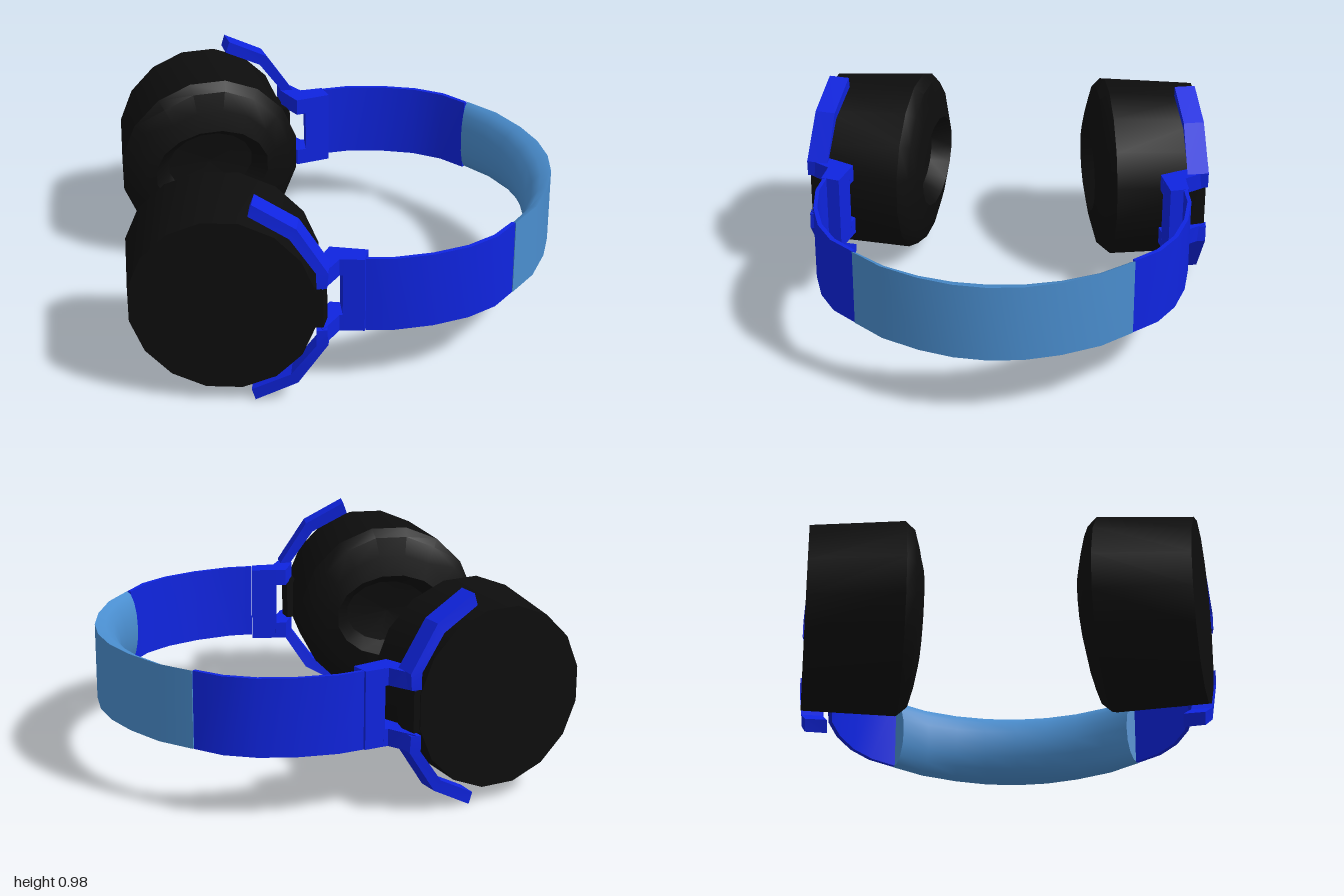
import * as THREE from 'three';
import { toCreasedNormals } from 'three/addons/utils/BufferGeometryUtils.js';

const MID = 0.495, HALF = 0.18; // band centre height and half width
const V = (x, y, z) => new THREE.Vector3(x, y, z);

const material = (name, color) => {
  const m = new THREE.MeshStandardMaterial({ color });
  m.name = name;
  return m;
};

// Turn every triangle of a closed solid outward, then add creased normals
function finish(geometry, crease = 0.5) {
  const g = geometry.index ? geometry.toNonIndexed() : geometry;
  const p = g.attributes.position;
  const a = V(), b = V(), c = V();
  let volume = 0;
  for (let i = 0; i < p.count; i += 3) {
    a.fromBufferAttribute(p, i);
    b.fromBufferAttribute(p, i + 1);
    c.fromBufferAttribute(p, i + 2);
    volume += a.dot(b.cross(c));
  }
  if (volume < 0) {
    for (let i = 0; i < p.count; i += 3) {
      b.fromBufferAttribute(p, i + 1);
      c.fromBufferAttribute(p, i + 2);
      p.setXYZ(i + 1, c.x, c.y, c.z);
      p.setXYZ(i + 2, b.x, b.y, b.z);
    }
  }
  g.deleteAttribute('normal');
  g.computeVertexNormals();
  return toCreasedNormals(g, crease);
}

// Solid through a list of equal-length rings, with fan caps
function loft(rings) {
  const n = rings[0].length, index = [], last = (rings.length - 1) * n;
  for (let r = 0; r < rings.length - 1; r++) {
    for (let i = 0; i < n; i++) {
      const a = r * n + i, b = r * n + (i + 1) % n;
      index.push(a, b, a + n, b, b + n, a + n);
    }
  }
  for (let i = 1; i < n - 1; i++) {
    index.push(0, i + 1, i, last, last + i, last + i + 1);
  }
  const g = new THREE.BufferGeometry().setFromPoints(rings.flat());
  g.setIndex(index);
  return g;
}

// Upright prism from an outline in x and z
function prism(outline, y0, y1) {
  const shape = new THREE.Shape(outline.map(([x, z]) => new THREE.Vector2(x, z)));
  const g = new THREE.ExtrudeGeometry(shape, { depth: y1 - y0, bevelEnabled: false });
  g.deleteAttribute('uv');
  return g.rotateX(Math.PI / 2).translate(0, y1, 0);
}

// Tilted ear cup: 16-sided shell, rounded cushion and oval hollow
function earCup() {
  const sections = [ // half width, half height, depth
    [0.01, 0.01, 0.421], [0.413, 0.418, 0.421], [0.441, 0.438, 0],
    [0.395, 0.4, -0.044], [0.33, 0.31, -0.068], [0.28, 0.21, -0.086],
    [0.21, 0.155, 0], [0.01, 0.01, 0.02],
  ];
  return loft(sections.map(([ru, rv, w]) => Array.from({ length: 16 }, (_, i) => {
    const t = (i + 0.5) / 16 * Math.PI * 2;
    const u = ru * Math.cos(t) + 0.094 * w;
    return V(-0.572 + 0.987 * u - 0.159 * w, MID + rv * Math.sin(t), 0.46 + 0.159 * u + 0.987 * w);
  })));
}

// Bent arm that grips the cup; s = 1 upper, -1 lower
function yokeArm(s) {
  const stations = [ // outer x, y, inner x, y, near z, far z
    [-0.445, 0.985, -0.465, 0.93, 0.785, 0.88],
    [-0.26, 0.88, -0.295, 0.835, 0.83, 0.925],
    [-0.13, 0.675, -0.185, 0.675, 0.855, 0.955],
    [-0.135, 0.6, -0.185, 0.6, 0.855, 0.955],
  ];
  return loft(stations.map(([xo, yo, xi, yi, z0, z1]) => {
    const a = MID + s * (yo - MID), b = MID + s * (yi - MID);
    return [V(xo, a, z0), V(xo - 0.02, a, z1), V(xi - 0.016, b, z1), V(xi, b, z0)];
  }));
}

// Head pad: flat outside, bulging inside, thinner toward both ends
function headPad() {
  const half = [ // outer x, z, inner x, z
    [0.725, 0.617, 0.688, 0.563], [0.845, 0.48, 0.772, 0.44],
    [0.933, 0.31, 0.827, 0.305], [0.983, 0.155, 0.856, 0.155],
  ];
  const stations = [...half, [1, 0, 0.865, 0],
    ...half.slice().reverse().map(([a, b, c, d]) => [a, -b, c, -d])];
  return loft(stations.map(([xo, zo, xi, zi]) => Array.from({ length: 9 }, (_, i) => {
    const t = i / 8 * Math.PI, k = Math.sin(t);
    return V(xo + (xi - xo) * k, MID + HALF * Math.cos(t), zo + (zi - zo) * k);
  })));
}

export function createModel() {
  const model = new THREE.Group();
  model.name = 'headphones';
  const black = material('black', 0x0d0d0d);
  const blue = material('royal blue', 0x0f24e0);
  const paleBlue = material('steel blue', 0x4a8ecf);

  const add = (parent, name, geometry, mat, crease) => {
    const mesh = new THREE.Mesh(finish(geometry, crease), mat);
    mesh.name = name;
    parent.add(mesh);
  };

  add(model, 'headPad', headPad(), paleBlue, 0.7);

  const bandOutline = [
    [0.025, 0.853], [0.145, 0.868], [0.325, 0.85], [0.49, 0.803], [0.623, 0.727], [0.722, 0.617],
    [0.708, 0.606], [0.61, 0.71], [0.482, 0.785], [0.32, 0.832], [0.145, 0.85], [0.03, 0.835],
  ];
  const baseOutline = [[-0.075, 0.847], [0.02, 0.86], [0.045, 0.775], [-0.075, 0.742]];
  const bridgeOutline = [
    [-0.175, 0.955], [-0.13, 0.9], [-0.09, 0.845], [-0.07, 0.848],
    [-0.07, 0.743], [-0.12, 0.73], [-0.155, 0.79], [-0.19, 0.855],
  ];
  const hingeOutline = [[-0.3, 0.925], [-0.17, 0.945], [-0.145, 0.87], [-0.15, 0.8], [-0.3, 0.8]];

  // Both sides are mirrored across z
  for (const side of [1, -1]) {
    const group = new THREE.Group();
    group.name = side > 0 ? 'frontSide' : 'backSide';
    const put = (name, g, mat, crease) => add(group, name, g.scale(1, 1, side), mat, crease);
    put('earCup', earCup(), black, 0.6);
    put('cupHinge', prism(hingeOutline, 0.4, 0.6), black);
    put('bandStrip', prism(bandOutline, MID - HALF, MID + HALF), blue);
    put('yokeBase', prism(baseOutline, MID - HALF, MID + HALF), blue);
    put('upperBridge', prism(bridgeOutline, 0.595, MID + HALF), blue);
    put('lowerBridge', prism(bridgeOutline, MID - HALF, 0.395), blue);
    put('upperArm', yokeArm(1), blue, 0.3);
    put('lowerArm', yokeArm(-1), blue, 0.3);
    model.add(group);
  }
  return model;
}
